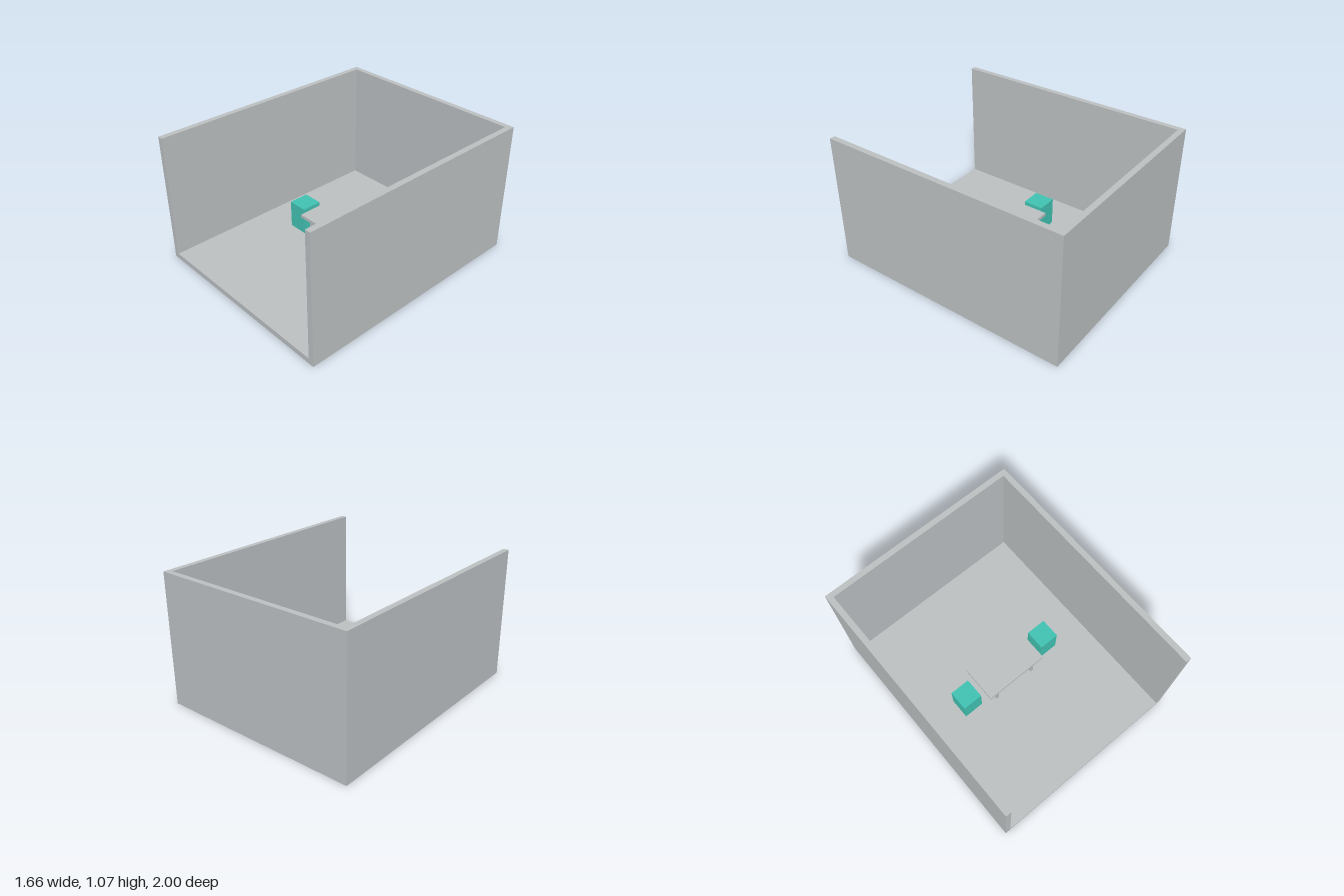
import * as THREE from 'three';

export function createModel() {
  const model = new THREE.Group();
  model.name = 'room';

  const grey = new THREE.MeshStandardMaterial({ color: 0xbbbfc1 });
  grey.name = 'plaster grey';
  const teal = new THREE.MeshStandardMaterial({ color: 0x42c2b2 });
  teal.name = 'seat teal';

  const W = 0.83, H = 1.065, T = 0.045, D = 1; // half width, height, thickness, half depth

  function box(name, parent, material, w, h, d, x, bottom, z) {
    const mesh = new THREE.Mesh(new THREE.BoxGeometry(w, h, d), material);
    mesh.position.set(x, bottom + h / 2, z);
    mesh.name = name;
    parent.add(mesh);
  }

  // Floor and side walls as one U-shaped section
  const section = new THREE.Shape([
    [-W, 0], [W, 0], [W, H], [W - T, H], [W - T, T], [-W + T, T], [-W + T, H], [-W, H],
  ].map(([x, y]) => new THREE.Vector2(x, y)));
  const shell = new THREE.Mesh(
    new THREE.ExtrudeGeometry(section, { depth: 2 * D - T, bevelEnabled: false }), grey);
  shell.position.z = -D + T;
  shell.name = 'floorAndSideWalls';
  model.add(shell);

  // Back wall
  box('backWall', model, grey, 2 * W, H, T, 0, 0, -D + T / 2);

  // Table: top on four square legs
  const table = new THREE.Group();
  table.name = 'table';
  model.add(table);
  const topBottom = 0.253;
  box('tableTop', table, grey, 0.546, 0.027, 0.304, 0, topBottom, 0);
  for (const sx of [-1, 1]) {
    for (const sz of [-1, 1]) {
      box('tableLeg', table, grey, 0.024, topBottom - T, 0.024, sx * 0.183, T, sz * 0.117);
    }
  }

  // Block seats at either end of the table
  for (const [name, x] of [['leftSeat', 0.4], ['rightSeat', -0.4]]) {
    box(name, model, teal, 0.167, 0.231, 0.167, x, T, 0);
  }

  return model;
}
